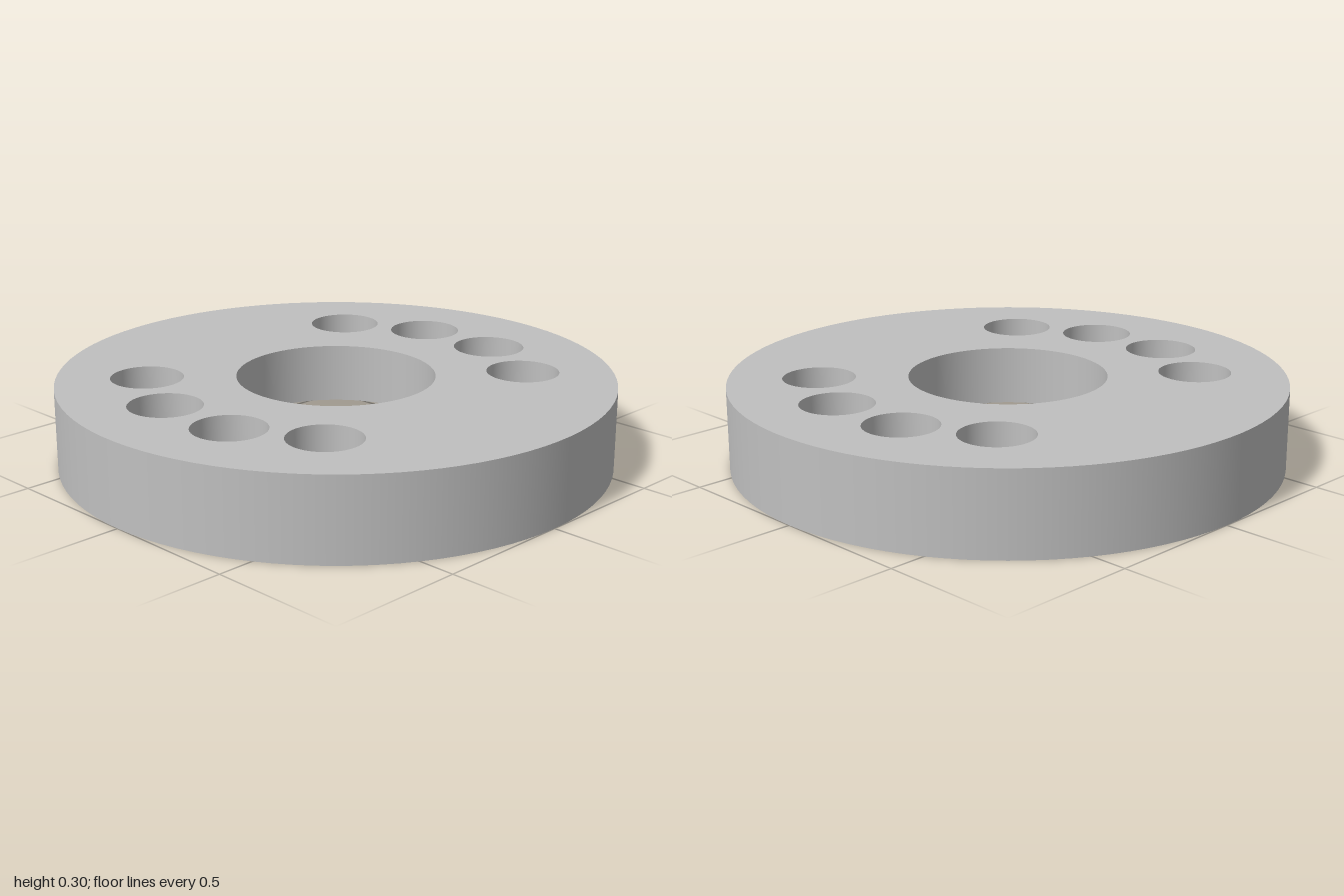
import * as THREE from 'three';

const SEGMENTS = 96;
const HEIGHT = 0.3, RADIUS = 1;
const RECESS_RADIUS = 0.895, RECESS_DEPTH = 0.085;
const BORE_RADIUS = 0.357;
const HOLE_RADIUS = 0.131, HOLE_CIRCLE = 0.675;

// four holes on each side, 28 degrees apart
const holes = [];
for (const side of [0, 180]) {
  for (const step of [-42, -14, 14, 42]) {
    const a = THREE.MathUtils.degToRad(side + step);
    holes.push([HOLE_CIRCLE * Math.cos(a), HOLE_CIRCLE * Math.sin(a)]);
  }
}

export function createModel() {
  const group = new THREE.Group();
  const grey = new THREE.MeshStandardMaterial({ color: 0xc0c0c0 });
  grey.name = 'grey';

  function add(name, geometry, x = 0, z = 0) {
    const mesh = new THREE.Mesh(geometry, grey);
    mesh.name = name;
    mesh.position.set(x, 0, z);
    group.add(mesh);
  }

  // one revolved surface; a rising profile faces out, a falling one faces in
  function ring(r0, y0, r1, y1) {
    return new THREE.LatheGeometry([new THREE.Vector2(r0, y0), new THREE.Vector2(r1, y1)], SEGMENTS);
  }

  // flat disc pierced by the bore and the holes
  function face(radius, y, up) {
    const shape = new THREE.Shape().absarc(0, 0, radius, 0, Math.PI * 2);
    for (const [x, z, r] of [[0, 0, BORE_RADIUS], ...holes.map(h => [...h, HOLE_RADIUS])]) {
      shape.holes.push(new THREE.Path().absarc(x, z, r, 0, Math.PI * 2));
    }
    return new THREE.ShapeGeometry(shape, SEGMENTS / 2)
      .rotateX(up ? -Math.PI / 2 : Math.PI / 2)
      .translate(0, y, 0);
  }

  // disc body
  add('topFace', face(RADIUS, HEIGHT, true));
  add('outerWall', ring(RADIUS, 0, RADIUS, HEIGHT));

  // raised rim and recess underneath
  add('bottomRim', ring(RECESS_RADIUS, 0, RADIUS, 0));
  add('recessWall', ring(RECESS_RADIUS, RECESS_DEPTH, RECESS_RADIUS, 0));
  add('recessFloor', face(RECESS_RADIUS, RECESS_DEPTH, false));

  // inner walls of the bore and the holes
  add('centreBore', ring(BORE_RADIUS, HEIGHT, BORE_RADIUS, RECESS_DEPTH));
  for (const [x, z] of holes) {
    add('holeWall', ring(HOLE_RADIUS, HEIGHT, HOLE_RADIUS, RECESS_DEPTH), x, z);
  }

  return group;
}
